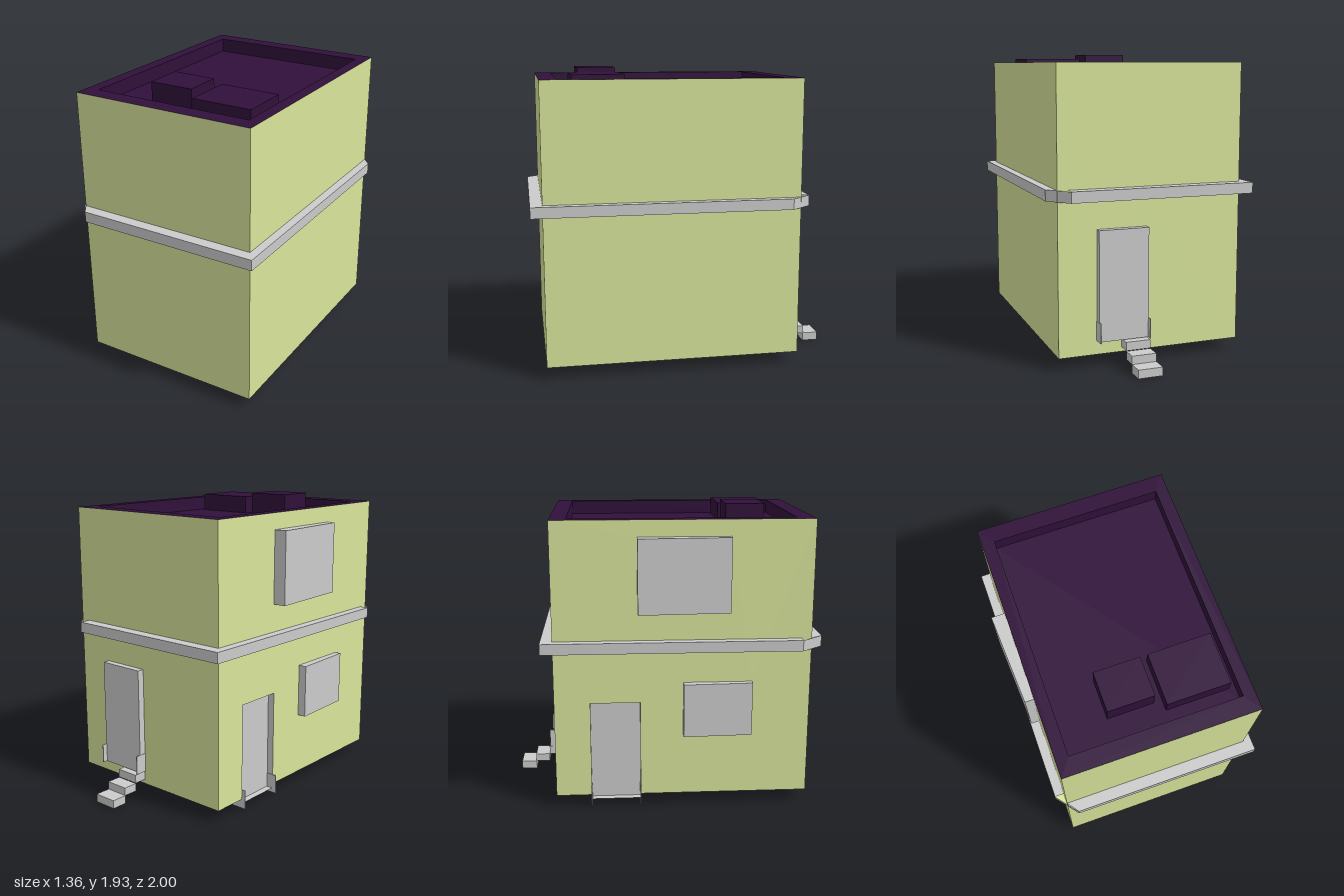
import * as THREE from 'three';

const paint = (color) => new THREE.MeshStandardMaterial({ color, side: THREE.DoubleSide });

export function createModel() {
  const model = new THREE.Group();
  const grey = paint(0xcccccc), wallPaint = paint(0xd8e59b), roofPaint = paint(0x30103a);

  // Main extents of the house
  const X0 = -0.595, X1 = 0.62, Z0 = -0.715, Z1 = 0.925, Y0 = 0.08, Y1 = 1.875;

  const add = (name, geometry, material) => {
    const mesh = new THREE.Mesh(geometry, material);
    mesh.name = name;
    model.add(mesh);
    return mesh;
  };

  // Box given by its extents; openFace drops one side (0..5 = +x -x +y -y +z -z)
  const box = (name, [x0, x1], [y0, y1], [z0, z1], material = grey, openFace = -1) => {
    const g = new THREE.BoxGeometry(x1 - x0, y1 - y0, z1 - z0);
    g.translate((x0 + x1) / 2, (y0 + y1) / 2, (z0 + z1) / 2);
    if (openFace >= 0) {
      g.setIndex([...g.index.array].filter((_, i) => Math.floor(i / 6) !== openFace));
      g.clearGroups();
    }
    return add(name, g, material);
  };

  const outline = (points, Type = THREE.Shape) => new Type(points.map(([a, b]) => new THREE.Vector2(a, b)));
  const rect = (a0, a1, b0, b1) => [[a0, b0], [a1, b0], [a1, b1], [a0, b1]];

  // Flat horizontal plate from (x, z) points
  const plate = (name, y, points, holes, material) => {
    const flip = (list) => list.map(([x, z]) => [x, -z]);
    const shape = outline(flip(points));
    shape.holes = holes.map((h) => outline(flip(h), THREE.Path));
    return add(name, new THREE.ShapeGeometry(shape).rotateX(-Math.PI / 2).translate(0, y, 0), material);
  };

  // Outer walls, open underneath
  const wall = (name, points, holes, angle, x, z) => {
    const shape = outline(points);
    shape.holes = holes.map((h) => outline(h, THREE.Path));
    add(name, new THREE.ShapeGeometry(shape).rotateY(angle).translate(x, 0, z), wallPaint);
  };
  const upper = { y: [1.3, 1.77], z: [-0.18, 0.4] };
  const lower = { y: [0.49, 0.84], z: [0.11, 0.55] };
  const sideDoor = { y: [0.05, 0.71], z: [-0.485, -0.165] };
  const backDoor = { x: [0.045, 0.372], y: [0.17, 0.87] };

  wall('frontWall', rect(X0, X1, Y0, Y1), [], 0, 0, Z1);
  wall('plainSideWall', rect(-Z1, -Z0, Y0, Y1), [], Math.PI / 2, X1, 0);
  wall('backWall', rect(-X1, -X0, Y0, Y1),
    [rect(-backDoor.x[1], -backDoor.x[0], ...backDoor.y)], Math.PI, 0, Z0);
  const [d0, d1] = sideDoor.z, dTop = sideDoor.y[1];
  wall('windowSideWall',
    [[Z0, Y0], [d0, Y0], [d0, dTop], [d1, dTop], [d1, Y0], [Z1, Y0], [Z1, Y1], [Z0, Y1]],
    [rect(...upper.z, ...upper.y), rect(...lower.z, ...lower.y)], -Math.PI / 2, X0, 0);

  // Roof rim, sunken deck and two rooftop units
  const deck = { x: [-0.515, 0.545], z: [-0.61, 0.815], y: 1.785 };
  plate('roofRim', Y1, rect(X0, X1, Z0, Z1), [rect(...deck.x, ...deck.z)], roofPaint);
  box('roofDeck', deck.x, [deck.y, Y1], deck.z, roofPaint, 2);
  box('tallRoofUnit', [-0.23, 0.06], [deck.y, 1.93], [0.41, 0.66], roofPaint);
  box('lowRoofUnit', [0.11, 0.505], [deck.y, 1.9], [0.4, 0.725], roofPaint);

  // Ledge around the middle, cut off at two opposite corners
  const L0 = 1.05, L1 = 1.12;
  const ring = [[-0.655, -0.79], [0.555, -0.79], [0.675, -0.65], [0.675, 1], [-0.54, 1], [-0.655, 0.86]];
  const edge = [], index = [];
  ring.forEach(([xa, za], i) => {
    const [xb, zb] = ring[(i + 1) % ring.length], n = i * 4;
    edge.push(xa, L0, za, xb, L0, zb, xb, L1, zb, xa, L1, za);
    index.push(n, n + 2, n + 1, n, n + 3, n + 2);
  });
  const band = new THREE.BufferGeometry();
  band.setAttribute('position', new THREE.Float32BufferAttribute(edge, 3));
  band.setIndex(index);
  band.computeVertexNormals();
  add('ledgeEdge', band, grey);
  plate('ledgeUnderside', L0, ring, [rect(X0 + 0.001, X1 - 0.004, Z0 + 0.004, Z1 - 0.004)], wallPaint);
  // Top strips leave a small open triangle at each cut corner
  const tops = [
    [[-0.655, -0.79], [0.555, -0.79], [0.555, Z0], [-0.655, Z0]],
    [[-0.655, Z0], [X0, Z0], [X0, 0.86], [-0.655, 0.86]],
    [[X1, Z0], [0.675, -0.65], [0.675, Z1], [X1, Z1]],
    [[X0, Z1], [0.675, Z1], [0.675, 1], [-0.54, 1]],
  ];
  tops.forEach((points) => plate('ledgeTop', L1, points, [], grey));

  // Projecting windows with a slightly angled outer face
  const bayWindow = (name, { y, z }, near, far) => {
    const p = box(name, [near, X0], y, z, grey, 0).geometry.attributes.position;
    for (let i = 0; i < p.count; i++) {
      if (p.getX(i) < X0 - 0.01 && p.getZ(i) > (z[0] + z[1]) / 2) p.setX(i, far);
    }
    p.needsUpdate = true;
    p.array && model.children.at(-1).geometry.computeVertexNormals();
  };
  bayWindow('upperWindow', upper, -0.68, -0.65);
  bayWindow('lowerWindow', lower, -0.65, -0.635);

  // Recessed side door with a thin bracket at each foot
  box('sideDoor', [X0, -0.55], sideDoor.y, sideDoor.z, grey, 1);
  sideDoor.z.forEach((z) => box('sideDoorBracket', [-0.622, -0.495], [0.02, 0.145], [z - 0.003, z + 0.003]));

  // Projecting back door with its brackets
  box('backDoor', backDoor.x, backDoor.y, [-0.76, Z0], grey, 4);
  backDoor.x.forEach((x) => box('backDoorBracket', [x - 0.003, x + 0.003], [0.17, 0.295], [-0.793, Z0]));

  // Steps down from the back door
  [[0.11, 0.165, -0.8, Z0], [0.055, 0.108, -0.897, -0.8], [0, 0.055, -1, -0.895]]
    .forEach(([y0, y1, z0, z1]) => box('backStep', [0.05, 0.21], [y0, y1], [z0, z1]));

  return model;
}
